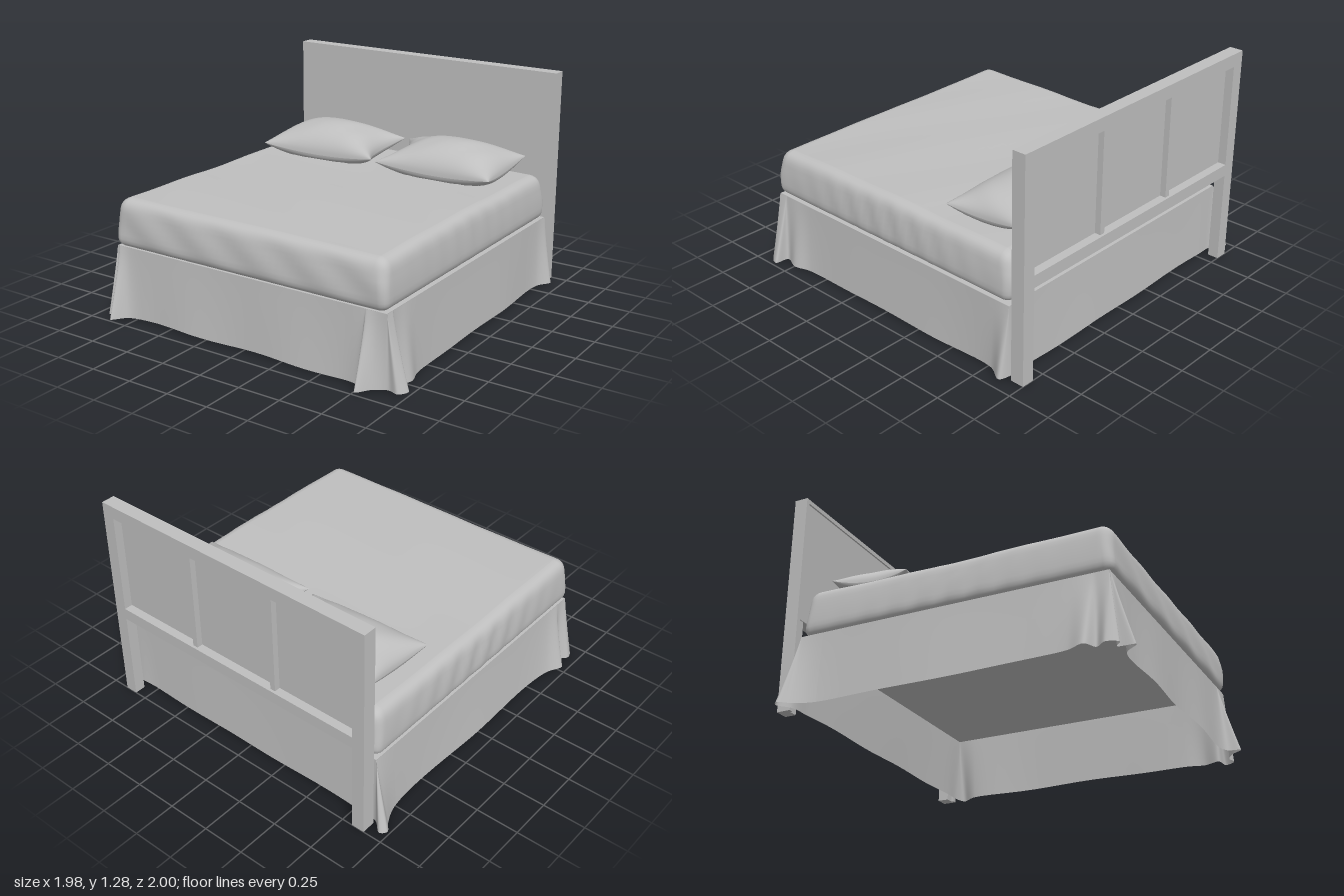
import * as THREE from 'three';
import { mergeVertices } from 'three/addons/utils/BufferGeometryUtils.js';

const { lerp, clamp } = THREE.MathUtils;
const gray = new THREE.MeshStandardMaterial({ color: 0xbfbfbf, side: THREE.DoubleSide });
gray.name = 'plain gray';

function addMesh(parent, name, geometry) {
  const mesh = new THREE.Mesh(geometry, gray);
  mesh.name = name;
  parent.add(mesh);
  return mesh;
}

// Box given by its minimum and maximum corners
function addBox(parent, name, [x0, y0, z0], [x1, y1, z1]) {
  const mesh = addMesh(parent, name, new THREE.BoxGeometry(x1 - x0, y1 - y0, z1 - z0));
  mesh.position.set((x0 + x1) / 2, (y0 + y1) / 2, (z0 + z1) / 2);
}

// Surface from a grid of points: point(i, j) for i along, j down
function gridSurface(nu, nv, point) {
  const pos = [], index = [];
  for (let j = 0; j <= nv; j++) for (let i = 0; i <= nu; i++) pos.push(...point(i, j));
  for (let j = 0; j < nv; j++) for (let i = 0; i < nu; i++) {
    const a = j * (nu + 1) + i, d = a + nu + 1;
    index.push(a, d, a + 1, a + 1, d, d + 1);
  }
  const g = new THREE.BufferGeometry();
  g.setAttribute('position', new THREE.Float32BufferAttribute(pos, 3));
  g.setIndex(index);
  g.computeVertexNormals();
  return g;
}

// Headboard: framed panel on two legs, with two battens behind
function makeHeadboard() {
  const g = new THREE.Group();
  g.name = 'headboard';
  const L = -0.89, R = 0.9, top = 1.28, back = -1, front = -0.92;
  for (const [x0, x1] of [[L, L + 0.075], [R - 0.075, R]]) {
    addBox(g, 'headboardLeg', [x0, 0, back], [x1, top, -0.935]);
  }
  addBox(g, 'topRail', [L, top - 0.075, back], [R, top, -0.935]);
  addBox(g, 'bottomRail', [L + 0.07, 0.54, back], [R - 0.07, 0.61, -0.935]);
  addBox(g, 'headboardPanel', [L + 0.02, 0.54, -0.95], [R - 0.02, top - 0.02, -0.93]);
  // raised lip around the front
  addBox(g, 'lipTop', [L, top - 0.025, -0.94], [R, top, front]);
  addBox(g, 'lipRight', [L, 0, -0.94], [L + 0.025, top, front]);
  addBox(g, 'lipLeft', [R - 0.025, 0, -0.94], [R, top, front]);
  for (const x of [-0.275, 0.285]) {
    addBox(g, 'batten', [x - 0.016, 0.6, -0.985], [x + 0.016, 1.21, -0.945]);
  }
  return g;
}

// Mattress: rounded block with soft creases in the sides
function makeMattress() {
  let geo = new THREE.BoxGeometry(2, 2, 2, 64, 14, 64);
  geo.deleteAttribute('uv');
  geo.deleteAttribute('normal');
  geo = mergeVertices(geo);
  const half = new THREE.Vector3(0.872, 0.138, 0.882), r = 0.055;
  const inner = half.clone().subScalar(r), low = inner.clone().negate();
  const p = new THREE.Vector3(), core = new THREE.Vector3();
  const pos = geo.attributes.position;
  for (let i = 0; i < pos.count; i++) {
    p.fromBufferAttribute(pos, i);
    // crowd the vertices toward the edges, then round them
    for (const a of ['x', 'y', 'z']) p[a] = Math.sin(p[a] * Math.PI / 2) * half[a];
    core.copy(p).clamp(low, inner);
    p.sub(core).normalize().multiplyScalar(r).add(core);
    const belly = 1 - (p.y / half.y) ** 2;
    const lean = -0.012 * p.y / half.y + 0.01 * belly;
    const foldZ = 0.006 * belly * Math.sin(38 * p.z - 14 * p.y) * Math.exp(-4 * p.z * p.z);
    const foldX = 0.005 * belly * Math.sin(17 * p.x + 20 * p.y);
    if (Math.abs(p.x) > inner.x) p.x += Math.sign(p.x) * (lean + foldZ);
    if (Math.abs(p.z) > inner.z) p.z += Math.sign(p.z) * (lean + foldX);
    if (p.y > 0) {
      p.y += 0.004 * Math.sin(4 * p.z + 1.5 * p.x) + 0.002 * Math.sin(11 * p.z - 5 * p.x);
    }
    pos.setXYZ(i, p.x, p.y + 0.55, p.z + 0.008);
  }
  geo.computeVertexNormals();
  return geo;
}

// Bed skirt: hem outline [x, z] with pleats flaring at the corners
const hem = [
  [-0.905, -0.75], [-0.91, 0], [-0.91, 0.5], [-0.93, 0.68], [-0.97, 0.78], [-0.91, 0.82],
  [-0.95, 0.88], [-0.92, 0.94], [-0.875, 0.91], [-0.86, 1], [-0.79, 0.925], [-0.65, 0.905],
  [-0.35, 0.915], [0, 0.9], [0.35, 0.915], [0.68, 0.905], [0.75, 0.93], [0.77, 1],
  [0.83, 0.93], [0.9, 0.89], [0.96, 0.9], [0.99, 0.84], [0.915, 0.82], [0.94, 0.73],
  [0.91, 0.62], [0.905, 0.2], [0.905, -0.3], [0.9, -0.78], [0.95, -0.88], [0.89, -0.905],
  [0.75, -0.9], [0.3, -0.905], [-0.3, -0.9], [-0.75, -0.9], [-0.89, -0.905], [-0.96, -0.96],
  [-0.99, -0.93], [-0.95, -0.87],
];

function makeSkirt() {
  const curve = new THREE.CatmullRomCurve3(hem.map(([x, z]) => new THREE.Vector3(x, 0, z)), true);
  const n = 380, rows = 10, pts = curve.getPoints(n);
  return gridSurface(n, rows, (i, j) => {
    const t = j / rows, { x, z } = pts[i];
    const tx = clamp(x, -0.88, 0.885), tz = clamp(z, -0.89, 0.885);
    const k = t ** 1.1;
    const drop = 0.012 + 0.004 * Math.sin(9 * x) * Math.cos(7 * z);
    return [lerp(tx, x, k), lerp(0.415, drop, t), lerp(tz, z, k)];
  });
}

// Pillow: two puffed sheets over four corners, pinched along the edges
// corners [x, z]: back right, back left, front left, front right
function makePillow(name, [a, b, c, d], pinchRight, pinchLeft) {
  const g = new THREE.Group();
  g.name = name;
  const nu = 32, nv = 24;
  const sheet = side => (i, j) => {
    const u = Math.sin((i / nu - 0.5) * Math.PI), v = Math.sin((j / nv - 0.5) * Math.PI);
    const s = (u + 1) / 2, t = (v + 1) / 2, mid = 1 - v * v;
    let x = lerp(lerp(a[0], b[0], s), lerp(d[0], c[0], s), t);
    let z = lerp(lerp(a[1], b[1], s), lerp(d[1], c[1], s), t);
    x += mid * (pinchRight * (1 - s) - pinchLeft * s);
    z -= 0.018 * v * (1 - u * u);
    const puff = ((1 - u * u) * mid) ** 0.48;
    const seam = lerp(0.785, 0.75, t) - 0.03 * (1 - u * u * v * v);
    const wrinkle = 0.005 * puff * Math.sin(9 * u + 5 * v) * Math.abs(u);
    const y = side > 0 ? seam + puff * 0.152 + wrinkle : Math.max(0.69, seam - puff * 0.09);
    return [x, y, z];
  };
  addMesh(g, 'pillowTop', gridSurface(nu, nv, sheet(1)));
  const under = gridSurface(nu, nv, (i, j) => sheet(-1)(nu - i, j));
  addMesh(g, 'pillowUnderside', under);
  return g;
}

export function createModel() {
  const bed = new THREE.Group();
  bed.name = 'bed';
  bed.add(makeHeadboard());
  addMesh(bed, 'mattress', makeMattress());
  addMesh(bed, 'bedSkirt', makeSkirt());
  addBox(bed, 'bedDeck', [-0.878, 0.395, -0.888], [0.882, 0.415, 0.883]);
  bed.add(makePillow('rightPillow',
    [[-0.765, -0.8], [-0.03, -0.795], [-0.01, -0.37], [-0.765, -0.325]], 0.02, 0.07));
  bed.add(makePillow('leftPillow',
    [[0, -0.79], [0.765, -0.84], [0.775, -0.355], [0.03, -0.345]], 0.07, 0.02));
  return bed;
}
